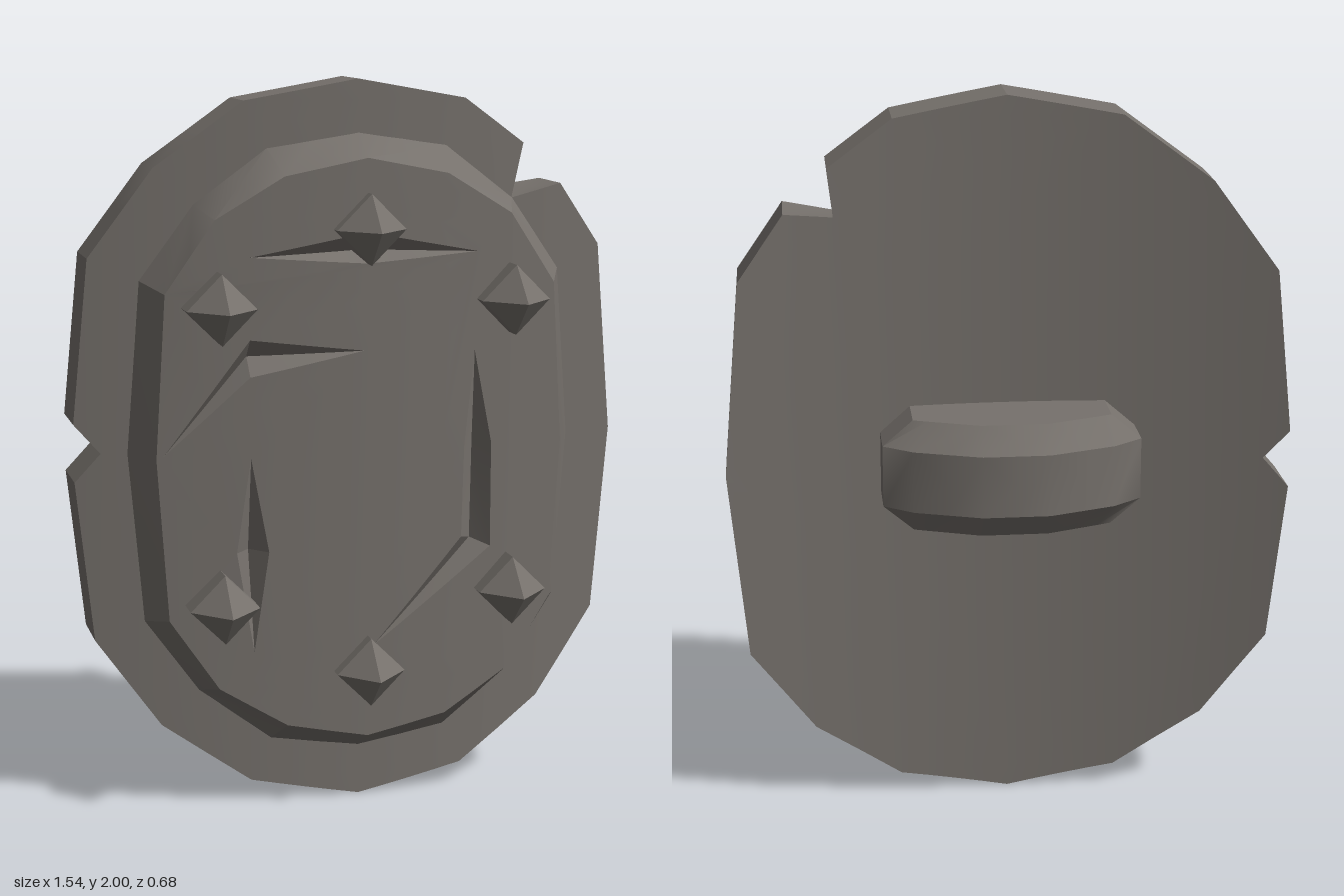
import * as THREE from 'three';
import { toCreasedNormals } from 'three/addons/utils/BufferGeometryUtils.js';

const CURVE = 0.165;     // how strongly the shield wraps backwards
const MAX_STEP = 0.13;   // widest triangle in x before bending

// Push a triangle, halving its widest edge until it can follow the bend
function tri(out, a, b, c) {
  const t = [a, b, c];
  let widest = 0, k = -1;
  for (let i = 0; i < 3; i++) {
    const d = Math.abs(t[i][0] - t[(i + 1) % 3][0]);
    if (d > widest) { widest = d; k = i; }
  }
  if (widest <= MAX_STEP) { out.push(...a, ...b, ...c); return; }
  const p = t[k], q = t[(k + 1) % 3], r = t[(k + 2) % 3];
  const m = p.map((v, i) => (v + q[i]) / 2);
  tri(out, p, m, r);
  tri(out, m, q, r);
}

// Triangle turned to face +z (sign 1) or -z (sign -1)
function facing(out, a, b, c, sign) {
  const area = (b[0] - a[0]) * (c[1] - a[1]) - (b[1] - a[1]) * (c[0] - a[0]);
  if (area * sign < 0) tri(out, a, c, b); else tri(out, a, b, c);
}

// Flat face with optional holes
function face(out, loop, z, sign, holes = []) {
  const v = (l) => l.map(([x, y]) => new THREE.Vector2(x, y));
  const pts = [loop, ...holes].flat().map(([x, y]) => [x, y, z]);
  for (const [a, b, c] of THREE.ShapeUtils.triangulateShape(v(loop), holes.map(v))) {
    facing(out, pts[a], pts[b], pts[c], sign);
  }
}

// Wall between a back loop and a front loop (counter-clockwise from the front)
function wall(out, back, zb, front, zf) {
  back.forEach((p, i) => {
    const j = (i + 1) % back.length;
    const b0 = [...p, zb], b1 = [...back[j], zb], f0 = [...front[i], zf], f1 = [...front[j], zf];
    tri(out, b0, b1, f1);
    tri(out, b0, f1, f0);
  });
}

function geometry(out, bend, crease) {
  const g = new THREE.BufferGeometry();
  g.setAttribute('position', new THREE.Float32BufferAttribute(out, 3));
  const p = g.attributes.position;
  if (bend) for (let i = 0; i < p.count; i++) p.setZ(i, p.getZ(i) - CURVE * p.getX(i) ** 2);
  return toCreasedNormals(g, crease);
}

// Full oval from its upper right quarter, running counter-clockwise from the right
function oval(quarter) {
  const top = [...quarter, ...quarter.slice(0, -1).reverse().map(([x, y]) => [-x, y])];
  const low = top.slice(1, -1).reverse().map(([x, y]) => [x, 2 - y]);
  return [...top, ...low];
}

export function createModel() {
  const group = new THREE.Group();
  const iron = new THREE.MeshStandardMaterial({ color: 0x76716c });
  iron.name = 'darkIron';
  const add = (name, geo) => {
    const mesh = new THREE.Mesh(geo, iron);
    mesh.name = name;
    group.add(mesh);
    return mesh;
  };

  // Outer plate with two battle notches; the upper one narrows to the back
  const plateLoop = (notch) => [
    [0.77, 1], [0.722, 1.53], [0.597, 1.705], ...notch, [0.305, 1.945], [0, 2],
    [-0.31, 1.945], [-0.55, 1.77], [-0.725, 1.53], [-0.77, 1.08], [-0.7, 1], [-0.77, 0.92],
    [-0.725, 0.475], [-0.55, 0.23], [-0.305, 0.06], [0, 0], [0.305, 0.06], [0.545, 0.23], [0.722, 0.475],
  ];
  const plateFront = plateLoop([[0.445, 1.67], [0.48, 1.82]]);
  const plateBack = plateLoop([[0.465, 1.69], [0.48, 1.82]]);
  const plate = [];
  face(plate, plateFront, 0.1, 1);
  face(plate, plateBack, -0.075, -1);
  wall(plate, plateBack, -0.075, plateFront, 0.1);
  add('plate', geometry(plate, true, 0.35));

  // Grooves: start tip, rows of [one side, crease, other side], end tip
  const grooves = [
    { start: [-0.32, 1.54], end: [0.31, 1.54], rows: [[[0, 1.6], [0, 1.55], [0, 1.517]]] },
    { start: [-0.552, 1.01], end: [-0.01, 1.283], rows: [[[-0.32, 1.32], [-0.32, 1.27], [-0.32, 1.22]]] },
    {
      start: [0.305, 1.27], end: [0.015, 0.46],
      rows: [[[0.277, 1.01], [0.315, 1.01], [0.357, 1.01]], [[0.27, 0.75], [0.31, 0.735], [0.357, 0.717]]],
    },
    { start: [-0.32, 1], end: [-0.315, 0.46], rows: [[[-0.36, 0.74], [-0.32, 0.74], [-0.273, 0.74]]] },
  ];
  const holes = grooves.map(({ start, end, rows }) =>
    [start, ...rows.map((r) => r[0]), end, ...rows.map((r) => r[2]).reverse()]);

  // Raised centre panel with a bevelled border
  const panelTop = oval([[0.57, 1], [0.542, 1.445], [0.41, 1.64], [0.225, 1.752], [0, 1.797]]);
  const panelBase = oval([[0.63, 1], [0.592, 1.47], [0.447, 1.672], [0.25, 1.82], [0, 1.858]]);
  const TOP = 0.203, DEPTH = 0.05;
  const panel = [];
  face(panel, panelTop, TOP, 1, holes);
  wall(panel, panelBase, 0.098, panelTop, TOP);
  add('panel', geometry(panel, true, 0.35));

  // Sunken sides of the grooves
  const cuts = [];
  for (const { start, end, rows } of grooves) {
    const line = [[start, start, start], ...rows, [end, end, end]];
    for (let i = 0; i + 1 < line.length; i++) {
      for (const s of [0, 2]) {
        const edge = (k) => [...line[k][s], TOP];
        const deep = (k) => [...line[k][1], k === 0 || k === line.length - 1 ? TOP : TOP - DEPTH];
        if (i > 0) facing(cuts, edge(i), deep(i), edge(i + 1), 1);
        else facing(cuts, edge(i), deep(i + 1), edge(i + 1), 1);
        if (i > 0 && i + 1 < line.length - 1) facing(cuts, deep(i), deep(i + 1), edge(i + 1), 1);
      }
    }
  }
  add('battleGrooves', geometry(cuts, true, 0.2));

  // Six four-sided studs
  const shaft = new THREE.CylinderGeometry(0.095, 0.095, 0.13, 4, 1, true).rotateX(Math.PI / 2).translate(0, 0, 0.175);
  const point = new THREE.ConeGeometry(0.095, 0.1, 4, 1, true).rotateX(Math.PI / 2).translate(0, 0, 0.29);
  const shaftFlat = toCreasedNormals(shaft, 0.1), pointFlat = toCreasedNormals(point, 0.1);
  for (const [x, y] of [[0, 1.61], [0.405, 1.41], [-0.405, 1.41], [0.405, 0.6], [-0.405, 0.6], [0, 0.395]]) {
    add('studShaft', shaftFlat).position.set(x, y, 0);
    add('studPoint', pointFlat).position.set(x, y, 0);
  }

  // Chamfered grip on the back, stacked from loops along its height
  const both = (half) => [...half, ...half.slice().reverse().map(([x, d]) => [-x, d])];
  const wide = both([[0.35, 0.05], [0.35, 0.22], [0.27, 0.28], [0.09, 0.342]]);
  const narrow = both([[0.268, 0.05], [0.268, 0.218], [0.23, 0.233], [0.09, 0.285]]);
  const grip = [];
  face(grip, narrow, -0.155, -1);
  wall(grip, narrow, -0.155, wide, -0.085);
  wall(grip, wide, -0.085, wide, 0.085);
  wall(grip, wide, 0.085, narrow, 0.155);
  face(grip, narrow, 0.155, 1);
  add('grip', geometry(grip, false, 0.6).rotateX(-Math.PI / 2)).position.y = 1.003;

  return group;
}
